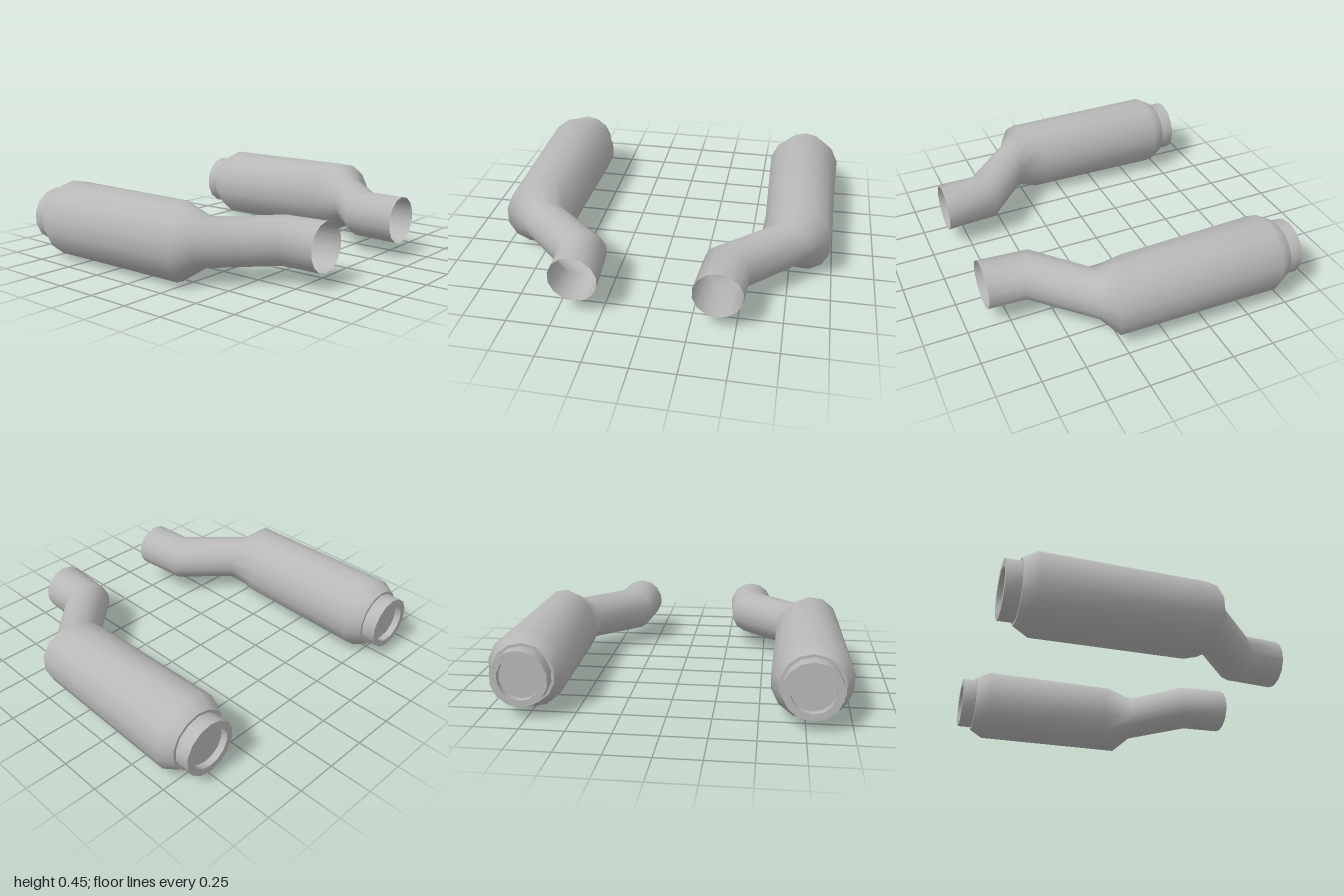
import * as THREE from 'three';

const SIDES = 14;
const CY = 0.226;

// Skin rings listed front to back; each ring is [x, z, half width, half height, z skew]
function loft(rings, side) {
  const pos = [], index = [];
  for (const [x, z, w, h, skew = 0] of rings) {
    for (let j = 0; j < SIDES; j++) {
      const a = (j / SIDES) * Math.PI * 2;
      const s = Math.sin(a);
      pos.push(side * x + w * s, CY + h * Math.cos(a), z + side * skew * s);
    }
  }
  for (let i = 0; i < rings.length - 1; i++) {
    for (let j = 0; j < SIDES; j++) {
      const k = (j + 1) % SIDES;
      const a = i * SIDES + j, b = i * SIDES + k;
      index.push(a, b, a + SIDES, b, b + SIDES, a + SIDES);
    }
  }
  const geo = new THREE.BufferGeometry();
  geo.setAttribute('position', new THREE.Float32BufferAttribute(pos, 3));
  geo.setIndex(index);
  geo.computeVertexNormals();
  return geo;
}

export function createModel() {
  const metal = new THREE.MeshStandardMaterial({ color: 0xb8b8b8, side: THREE.DoubleSide });
  metal.name = 'grey metal';
  const model = new THREE.Group();
  model.name = 'exhaustPair';

  // Round section on the body axis
  const round = (z, r) => [0.78, z, r, r];

  const parts = {
    // Open bent inlet pipe flaring into the long body and its tapered end
    pipeAndBody: [
      [0.398, 0.87, 0.141, 0.141],
      [0.415, 0.61, 0.133, 0.141, 0.056],
      [0.718, 0.32, 0.146, 0.141, 0.031],
      [0.78, 0.2, 0.2, 0.225, 0.092],
      round(-0.7, 0.226),
      round(-0.785, 0.178),
    ],
    bodyEndCap: [round(-0.785, 0.178), round(-0.785, 0.12)],
    // Outlet ring with a recessed, closed bore
    tipWall: [round(-0.785, 0.162), round(-0.87, 0.162)],
    tipRim: [round(-0.87, 0.162), round(-0.87, 0.122)],
    tipBore: [round(-0.87, 0.122), round(-0.83, 0.122)],
    tipFloor: [round(-0.83, 0.122), round(-0.83, 0)],
  };

  for (const side of [1, -1]) {
    const exhaust = new THREE.Group();
    exhaust.name = side > 0 ? 'leftExhaust' : 'rightExhaust';
    for (const [name, rings] of Object.entries(parts)) {
      const mesh = new THREE.Mesh(loft(rings, side), metal);
      mesh.name = name;
      exhaust.add(mesh);
    }
    model.add(exhaust);
  }
  return model;
}
